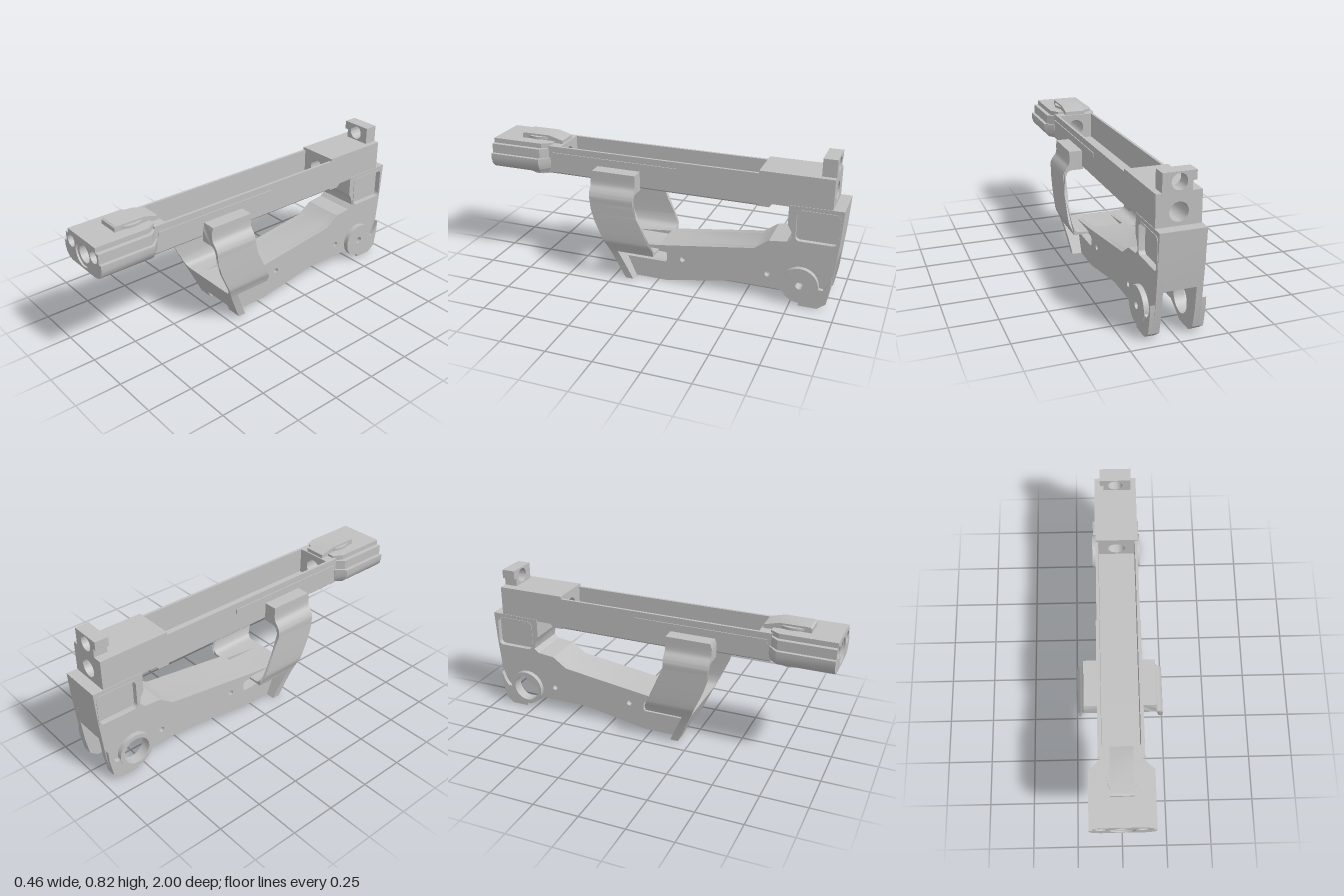
import * as THREE from 'three';
import { toCreasedNormals } from 'three/addons/utils/BufferGeometryUtils.js';

const grey = new THREE.MeshStandardMaterial({ color: 0xc0c0c0 });
grey.name = 'frame grey';

// ---- helpers ----
const mirror = (half) => [...half, ...half.map(([x, y]) => [-x, y]).reverse()];
const circle = (x, y, r) => new THREE.Path().absarc(x, y, r, 0, Math.PI * 2, true);
const smooth = (points, n) =>
  new THREE.CatmullRomCurve3(points.map(([x, y]) => new THREE.Vector3(x, y, 0))).getSpacedPoints(n).map((p) => [p.x, p.y]);

function roundRect(x0, y0, x1, y1, r) {
  const p = new THREE.Path();
  p.absarc(x1 - r, y1 - r, r, 0, Math.PI / 2);
  p.absarc(x0 + r, y1 - r, r, Math.PI / 2, Math.PI);
  p.absarc(x0 + r, y0 + r, r, Math.PI, Math.PI * 1.5);
  p.absarc(x1 - r, y0 + r, r, Math.PI * 1.5, Math.PI * 2);
  p.closePath();
  return p;
}

function extrude(points, depth, holes = []) {
  const shape = new THREE.Shape(points.map(([x, y]) => new THREE.Vector2(x, y)));
  shape.holes.push(...holes);
  return new THREE.ExtrudeGeometry(shape, { depth, bevelEnabled: false, curveSegments: 20 });
}

// front outline (x, y) swept from z0 to z1
const alongZ = (points, z0, z1, holes) => extrude(points, z1 - z0, holes).translate(0, 0, z0);

// side outline (z, y) swept from x0 to x1
const alongX = (points, x0, x1, holes) =>
  extrude(points, x1 - x0, holes).rotateY(-Math.PI / 2).translate(x1, 0, 0);

function deform(geo, rule) {
  const p = geo.attributes.position;
  const v = new THREE.Vector3();
  for (let i = 0; i < p.count; i++) {
    rule(v.fromBufferAttribute(p, i));
    p.setXYZ(i, v.x, v.y, v.z);
  }
  return geo;
}

// piecewise linear lookup in [key, value] pairs
function lookup(table, k) {
  for (let i = 1; i < table.length; i++) {
    const [a, va] = table[i - 1], [b, vb] = table[i];
    if (k <= b) return va + (vb - va) * Math.max(0, (k - a) / (b - a));
  }
  return table[table.length - 1][1];
}

export function createModel() {
  const model = new THREE.Group();
  const add = (name, geo) => {
    const mesh = new THREE.Mesh(toCreasedNormals(geo, 0.5), grey);
    mesh.name = name;
    model.add(mesh);
  };
  const box = (name, x0, x1, y0, y1, z0, z1) =>
    add(name, new THREE.BoxGeometry(x1 - x0, y1 - y0, z1 - z0)
      .translate((x0 + x1) / 2, (y0 + y1) / 2, (z0 + z1) / 2));
  const bore = () => circle(0, 0.63, 0.048);

  // ---- long upper trough with solid ends ----
  for (const [bottom, z0, z1] of [[0.53, -0.55, 0.34], [0.549, 0.34, 0.59]])
    add('trough', alongZ(mirror([[0.105, bottom], [0.115, bottom + 0.01], [0.115, 0.71], [0.1, 0.71], [0.1, 0.565]]), z0, z1));
  add('troughFrontEnd', alongZ(mirror([[0.105, 0.549], [0.115, 0.559], [0.115, 0.71]]), 0.59, 0.66, [bore()]));
  add('troughRearEnd', alongZ(mirror([[0.115, 0.55], [0.115, 0.725]]), -0.94, -0.55, [bore()]));
  add('rearLip', alongX([[-0.55, 0.56], [-0.55, 0.53], [-0.61, 0.53], [-0.635, 0.56]], -0.115, 0.115));
  for (const s of [-1, 1]) box('sideRail', s * 0.117 - 0.003, s * 0.117 + 0.003, 0.65, 0.675, -0.1, 0.64);

  // ---- stepped front block ----
  const nose = mirror([[0.11, 0.551], [0.14, 0.56], [0.16, 0.58], [0.17, 0.61], [0.17, 0.642], [0.151, 0.642],
    [0.151, 0.695], [0.127, 0.695], [0.127, 0.722]]);
  const sideBores = [-0.105, 0.105].map((x) => circle(x, 0.662, 0.033));
  add('noseBlock', alongZ(nose, 0.7, 1, [circle(0, 0.63, 0.067), ...sideBores]));
  add('noseTaper', deform(alongZ(nose, 0.65, 0.7, [bore()]), (v) => {
    if (v.z < 0.66 && Math.abs(v.x) > 0.06) v.x = Math.sign(v.x) * (0.06 + (Math.abs(v.x) - 0.06) * 0.52);
  }));
  const sleeve = new THREE.Shape().absarc(0, 0.63, 0.067, 0, Math.PI * 2);
  sleeve.holes.push(bore());
  add('boreSleeve', new THREE.ExtrudeGeometry(sleeve, { depth: 0.29, bevelEnabled: false, curveSegments: 24 })
    .translate(0, 0, 0.7));
  for (const x of [-0.105, 0.105])
    add('sideBorePlug', new THREE.CylinderGeometry(0.033, 0.033, 0.2, 32).rotateX(Math.PI / 2).translate(x, 0.662, 0.85));

  // latch on top of the front block and pad beneath it
  add('topLatch', alongX([[0.85, 0.72], [0.85, 0.745], [0.84, 0.752], [0.68, 0.752], [0.6, 0.73], [0.6, 0.71]], -0.06, 0.06));
  add('latchDisc', new THREE.CylinderGeometry(0.08, 0.08, 0.014, 40).scale(1, 1, 1.15).translate(0, 0.735, 0.75));
  add('bottomPad', new THREE.CylinderGeometry(0.083, 0.078, 0.035, 40).translate(0, 0.541, 0.75));

  // ---- rear upright with round window ----
  add('rearUpright', alongZ([[-0.065, 0.715], [0.085, 0.715], [0.085, 0.82], [-0.085, 0.82], [-0.085, 0.772], [-0.065, 0.772]],
    -0.94, -0.865, [circle(0, 0.772, 0.04)]));

  // ---- wide front hand loop: front outline, with z limits depending on height ----
  const front = [[0, 0.18], [0.185, 0.262], [0.35, 0.335], [0.42, 0.357], [0.5, 0.365], [0.6, 0.37], [0.63, 0.36]];
  const back = [[0.21, 0], [0.44, 0.11], [0.63, 0.11]];
  const outer = smooth([[0.203, 0.175], [0.213, 0.205], [0.225, 0.235], [0.228, 0.265], [0.228, 0.46], [0.227, 0.5],
    [0.213, 0.528], [0.194, 0.552], [0.19, 0.575]], 44);
  const inner = smooth([[0.175, 0.522], [0.197, 0.516], [0.21, 0.49], [0.211, 0.45], [0.211, 0.27], [0.208, 0.235],
    [0.196, 0.203], [0.18, 0.191], [0.16, 0.188]], 44);
  const loop = mirror([...outer, [0.19, 0.6], [0.19, 0.63], [0.11, 0.63], [0.11, 0.6], [0.11, 0.522], ...inner]);
  add('handLoop', deform(extrude(loop, 1), (v) => {
    v.z = THREE.MathUtils.lerp(lookup(back, v.y), lookup(front, v.y), v.z);
  }));
  const apron = mirror([[0.09, 0.04], [0.09, 0], [0.172, 0], [0.177, 0.04], [0.189, 0.11], [0.199, 0.16], [0.206, 0.185]]);
  add('frontApron', deform(extrude(apron, 1), (v) => {
    v.z = lookup(front, v.y) - 0.045 * (1 - v.z);
  }));

  // ---- lower beam and rear block: two side walls around a core ----
  const top = [[0, 0.21], [-0.54, 0.285], [-0.62, 0.342], [-0.715, 0.352], [-0.742, 0.375],
    [-0.735, 0.415], [-0.715, 0.45], [-0.715, 0.56]];
  const wall = [[0.18, 0], [0.24, 0.185], ...top, [-1, 0.562], [-0.99, 0.4], [-0.965, 0.14], [-0.945, 0.035],
    [-0.9, 0], [-0.8, 0], [-0.72, 0.05], [-0.69, 0.066], [-0.42, 0.066], [-0.05, 0]];
  const cheek = [[-0.87, 0.17], [-0.885, 0.13], [-0.905, 0.113], [-0.925, 0.113], [-0.945, 0.14], [-0.965, 0.195],
    [-0.963, 0.14], [-0.945, 0.035], [-0.9, 0.001], [-0.8, 0.001], [-0.8, 0.03], [-0.86, 0.05], [-0.89, 0.1]];
  const pivot = [-0.8, 0.12];
  for (const s of [-1, 1]) {
    const pivotRadius = s < 0 ? 0.077 : 0.02;
    const holes = [
      roundRect(-0.05, 0.115, 0.21, 0.175, 0.015),
      circle(-0.14, 0.145, 0.015), circle(-0.62, 0.145, 0.015),
      circle(...pivot, pivotRadius),
      roundRect(-0.98, 0.362, -0.755, 0.535, 0.025)];
    const [x0, x1] = s > 0 ? [0.085, 0.118] : [-0.118, -0.085];
    add('sideWall', alongX(wall, x0, x1, holes));
    // round pivot boss: nearly solid disc on the left, open ring on the right
    const boss = new THREE.Shape().absarc(...pivot, 0.1, 0, Math.PI * 2);
    boss.holes.push(circle(...pivot, pivotRadius));
    add('pivotBoss', new THREE.ExtrudeGeometry(boss, { depth: 0.03, bevelEnabled: false, curveSegments: 24 })
      .rotateY(-Math.PI / 2).translate(s > 0 ? 0.145 : -0.115, 0, 0));
    // raised heel behind the boss
    add('raisedHeel', alongX(cheek, s > 0 ? 0.115 : -0.142, s > 0 ? 0.142 : -0.115));
    // thin rim around the rear recess
    const rim = new THREE.Shape(roundRect(-0.985, 0.357, -0.75, 0.54, 0.03).getPoints(8));
    rim.holes.push(roundRect(-0.976, 0.366, -0.759, 0.531, 0.022));
    add('recessRim', new THREE.ExtrudeGeometry(rim, { depth: 0.005, bevelEnabled: false })
      .rotateY(-Math.PI / 2).translate(s > 0 ? 0.121 : -0.116, 0, 0));
  }
  add('beamCore', alongX([[0, 0.185], ...top, [-1, 0.562], [-0.99, 0.4], [-0.976, 0.26], [-0.72, 0.2], [-0.05, 0.18]],
    -0.085, 0.085));
  add('frontFloor', alongX([[0.165, 0.06], [0.19, 0.113], [-0.05, 0.113], [-0.05, 0.06]], -0.085, 0.085));

  return model;
}
